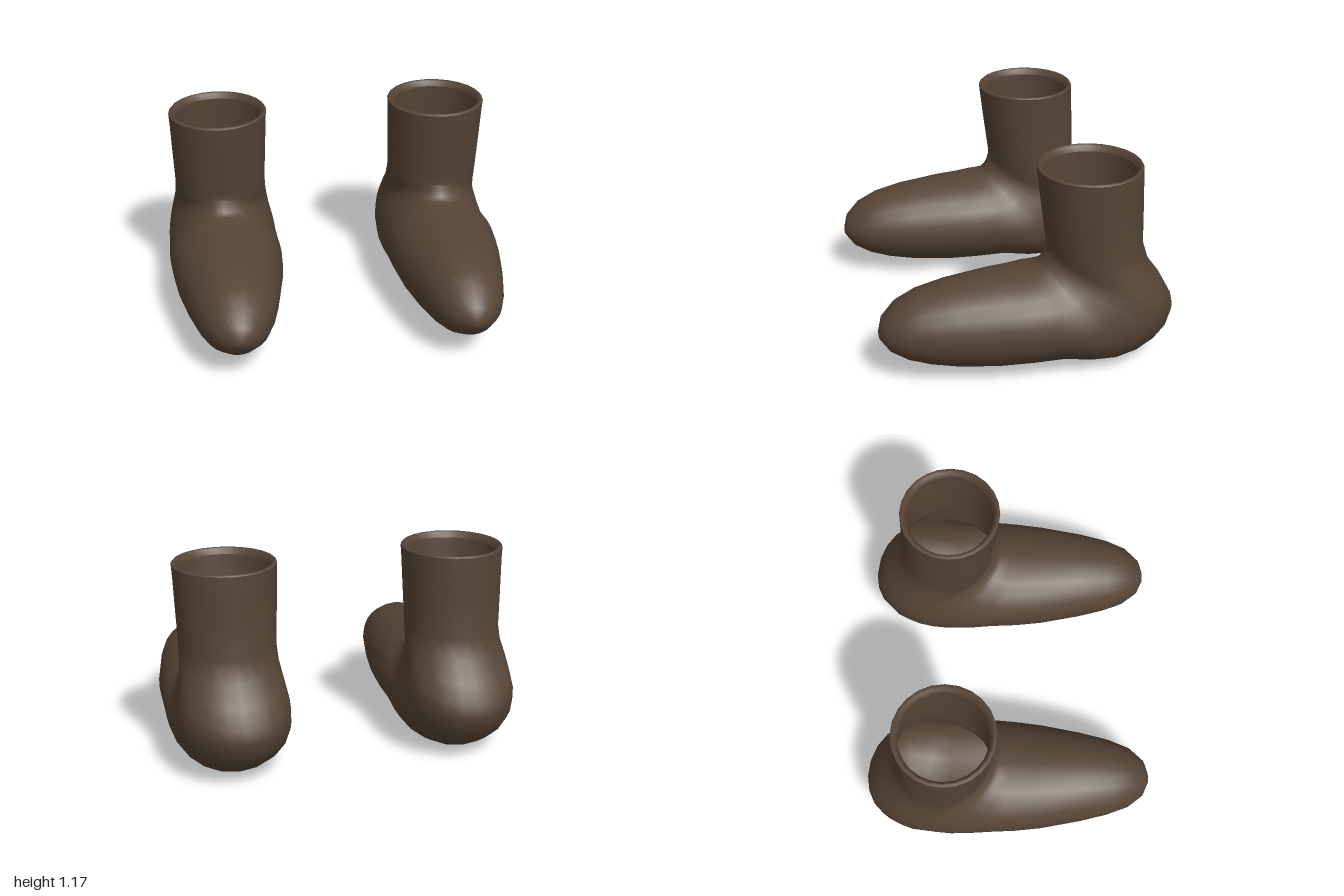
import * as THREE from 'three';

const SIDES = 24;

// Rings swept from toe to cuff, fanning around the instep.
// Each: instep point (z, y), sole/heel point (z, y), half width, egg factor
const RINGS = [
  [0.84, 0.31, 0.84, 0.26, 0.03, 0],
  [0.82, 0.38, 0.785, 0.185, 0.11, 0],
  [0.74, 0.46, 0.69, 0.13, 0.18, 0],
  [0.62, 0.515, 0.57, 0.09, 0.225, 0],
  [0.45, 0.55, 0.42, 0.06, 0.265, 0],
  [0.2, 0.575, 0.2, 0.038, 0.31, 0],
  [0.08, 0.58, 0.02, 0.035, 0.328, 0],
  [0, 0.59, -0.18, 0.035, 0.337, 0],
  [-0.03, 0.597, -0.36, 0.006, 0.338, 0.05],
  [-0.05, 0.605, -0.51, 0.004, 0.336, 0.1],
  [-0.065, 0.612, -0.63, 0.04, 0.33, 0.15],
  [-0.075, 0.625, -0.73, 0.105, 0.325, 0.2],
  [-0.085, 0.64, -0.805, 0.185, 0.315, 0.2],
  [-0.093, 0.655, -0.843, 0.29, 0.3, 0.2],
  [-0.1, 0.67, -0.83, 0.36, 0.292, 0.15],
  [-0.105, 0.68, -0.77, 0.47, 0.283, 0.1],
  [-0.11, 0.69, -0.69, 0.58, 0.275, 0.05],
  [-0.112, 0.72, -0.652, 0.7, 0.272, 0],
  [-0.085, 0.92, -0.645, 0.92, 0.28, 0],
  [-0.062, 1.1, -0.638, 1.1, 0.286, 0],
  [-0.055, 1.165, -0.635, 1.165, 0.29, 0],
];

// Cuff edge folded inwards
const HEM = [
  [-0.065, 1.175, -0.628, 1.175, 0.282, 0],
  [-0.082, 1.17, -0.61, 1.17, 0.264, 0],
  [-0.095, 1.14, -0.597, 1.14, 0.251, 0],
];

// Skins a list of rings; optionally closes the first ring with a point
function loft(rings, closeStart) {
  const pos = [], index = [];
  for (const [zi, yi, zo, yo, w, egg] of rings) {
    for (let j = 0; j < SIDES; j++) {
      const t = (j / SIDES) * Math.PI * 2, c = Math.cos(t);
      pos.push(
        w * Math.sin(t) * (1 - egg * c),
        (yi + yo) / 2 + ((yi - yo) / 2) * c,
        (zi + zo) / 2 + ((zi - zo) / 2) * c
      );
    }
  }
  for (let i = 0; i < rings.length - 1; i++) {
    for (let j = 0; j < SIDES; j++) {
      const k = (j + 1) % SIDES;
      const a = i * SIDES + j, b = i * SIDES + k;
      index.push(a, b, a + SIDES, b, b + SIDES, a + SIDES);
    }
  }
  if (closeStart) {
    const [zi, yi, zo, yo] = rings[0], tip = pos.length / 3;
    pos.push(0, (yi + yo) / 2, (zi + zo) / 2 + 0.002);
    for (let j = 0; j < SIDES; j++) index.push(tip, (j + 1) % SIDES, j);
  }
  const g = new THREE.BufferGeometry();
  g.setAttribute('position', new THREE.Float32BufferAttribute(pos, 3));
  g.setIndex(index);
  g.computeVertexNormals();
  return g;
}

export function createModel() {
  const leather = new THREE.MeshStandardMaterial({ color: 0x564436, side: THREE.DoubleSide });
  leather.name = 'dark brown leather';

  const bootGeometry = loft(RINGS, true);
  const hemGeometry = loft([RINGS[RINGS.length - 1], ...HEM], false);

  const model = new THREE.Group();
  model.name = 'pairOfBoots';
  for (const [name, x] of [['leftBoot', 0.66], ['rightBoot', -0.66]]) {
    const boot = new THREE.Group();
    boot.name = name;
    const body = new THREE.Mesh(bootGeometry, leather);
    body.name = 'footAndShaft';
    const hem = new THREE.Mesh(hemGeometry, leather);
    hem.name = 'foldedHem';
    boot.add(body, hem);
    boot.position.x = x;
    model.add(boot);
  }
  return model;
}
